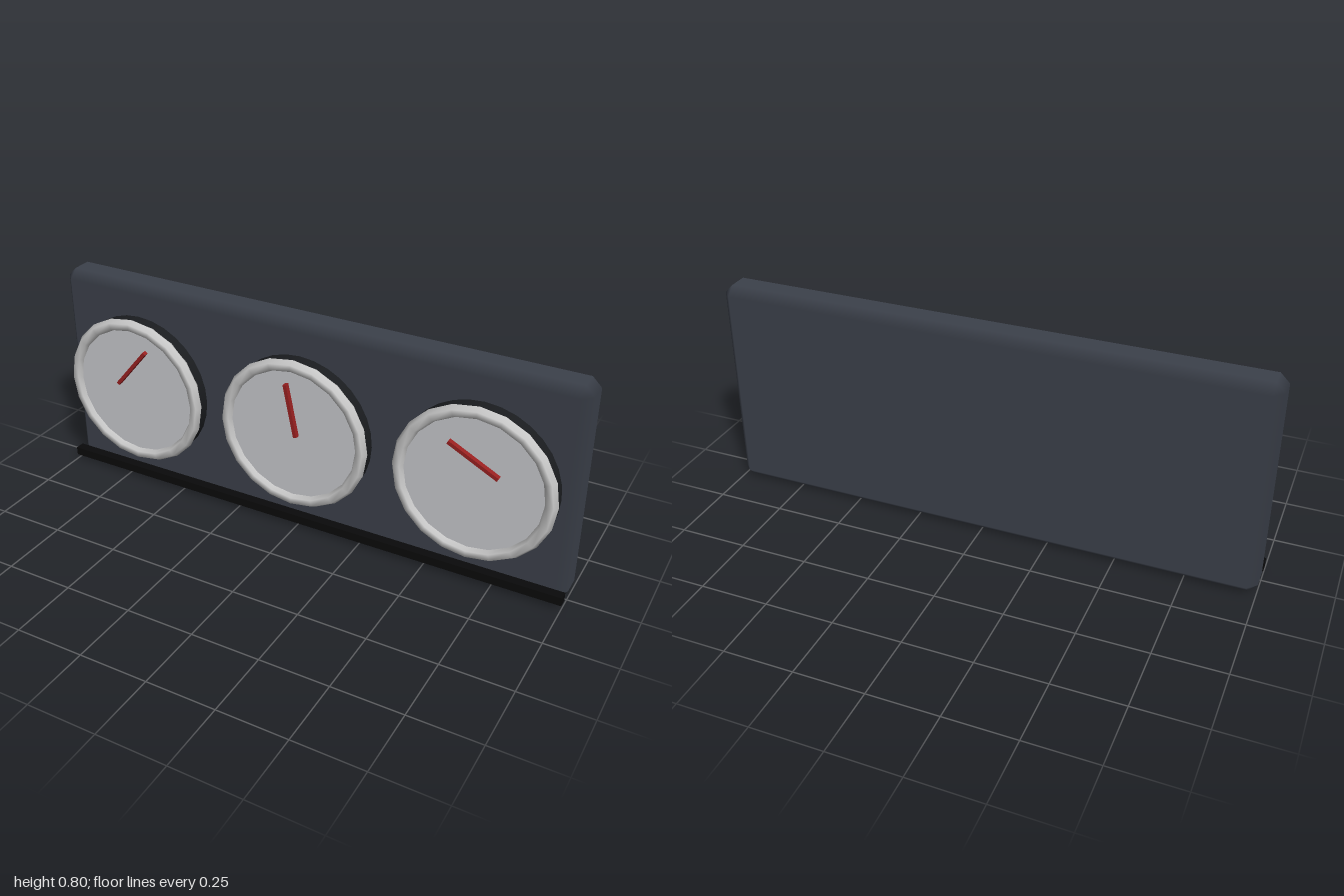
import * as THREE from 'three';
import { ConvexGeometry } from 'three/addons/geometries/ConvexGeometry.js';

const mat = (color) => new THREE.MeshStandardMaterial({ color });
const bodyMat = mat(0x3c414b);
const housingMat = mat(0x1a1c1f);
const railMat = mat(0x0a0a0b);
const bezelMat = mat(0xcccccc);
const faceMat = mat(0xcacbcf);
const needleMat = mat(0x9a2020);

function addMesh(parent, name, geometry, material, x = 0, y = 0, z = 0) {
  const mesh = new THREE.Mesh(geometry, material);
  mesh.name = name;
  mesh.position.set(x, y, z);
  parent.add(mesh);
  return mesh;
}

// Box with every edge cut at 45 degrees; normals follow the six main faces so bevels shade softly
function bevelledBox(w, h, d, b) {
  const half = [w / 2, h / 2, d / 2];
  const points = [];
  for (let axis = 0; axis < 3; axis++)
    for (const sx of [-1, 1]) for (const sy of [-1, 1]) for (const sz of [-1, 1]) {
      const s = [sx, sy, sz];
      points.push(new THREE.Vector3(...half.map((v, i) => s[i] * (i === axis ? v : v - b))));
    }
  const geometry = new ConvexGeometry(points);
  const pos = geometry.attributes.position;
  for (let i = 0; i < pos.count; i++) {
    const p = [pos.getX(i), pos.getY(i), pos.getZ(i)];
    const n = p.map((v, k) => (Math.abs(v) > half[k] - b / 2 ? Math.sign(v) : 0));
    geometry.attributes.normal.setXYZ(i, ...n);
  }
  return geometry;
}

// Disc-like cylinder facing the front, spanning z0 to z1
function disc(radius, z0, z1) {
  return new THREE.CylinderGeometry(radius, radius, z1 - z0, 32)
    .rotateX(Math.PI / 2).translate(0, 0, (z0 + z1) / 2);
}

export function createModel() {
  const model = new THREE.Group();
  model.name = 'gaugePanel';

  // Backing panel
  const bevel = 0.033;
  const panel = bevelledBox(2, 0.8, 0.135, bevel);
  addMesh(model, 'panel', panel, bodyMat, 0, 0.4, -0.0375);

  // Rail along the lower front edge
  addMesh(model, 'lowerRail', new THREE.BoxGeometry(2, 0.032, 0.035), railMat, 0, 0.034, 0.0475);

  // Three round gauges, each with its own needle angle
  [-0.7, 0.2, 1.1].forEach((angle, i) => {
    const gauge = new THREE.Group();
    gauge.name = 'gauge' + (i + 1);
    gauge.position.set((i - 1) * 0.667, 0.4, 0);
    addMesh(gauge, 'housing', disc(0.28, 0.02, 0.07), housingMat);
    addMesh(gauge, 'bezel', new THREE.TorusGeometry(0.265, 0.023, 6, 20), bezelMat, 0, 0, 0.081);
    addMesh(gauge, 'dialFace', disc(0.25, 0.06, 0.085), faceMat);
    const needle = addMesh(gauge, 'needle', new THREE.BoxGeometry(0.013, 0.2, 0.018), needleMat, 0, 0.1, 0.095);
    needle.rotation.z = angle;
    model.add(gauge);
  });

  return model;
}
